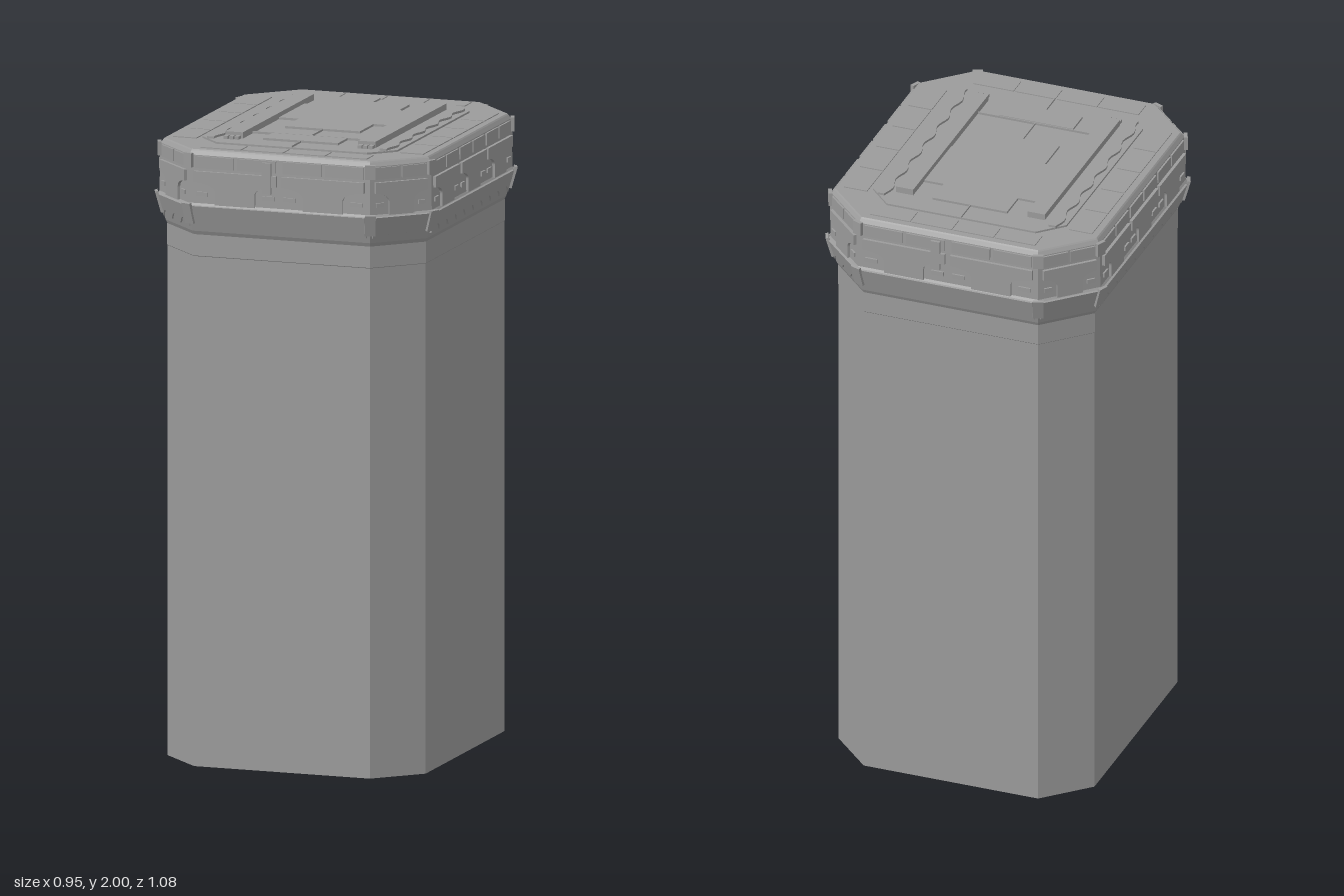
import * as THREE from 'three';

const mat = new THREE.MeshStandardMaterial({ color: 0x9b9b9b, flatShading: true, side: THREE.DoubleSide });

// Chamfered-rectangle outline, pushed outward by d, as [x, z] pairs
function outline(d) {
  const X = 0.43 + d, Z = 0.495 + d, a = 0.293 + 0.41 * d, b = 0.36 + 0.41 * d;
  return [[a, Z], [X, b], [X, -b], [a, -Z], [-a, -Z], [-X, -b], [-X, b], [-a, Z]];
}

// Skin a stack of outlines given as [offset, height]; optionally close the top
function loft(name, profile, capTop) {
  const pos = [], idx = [];
  for (const [d, y] of profile) for (const [x, z] of outline(d)) pos.push(x, y, z);
  for (let r = 0; r < profile.length - 1; r++) {
    for (let i = 0; i < 8; i++) {
      const j = (i + 1) % 8, lo = r * 8, hi = lo + 8;
      idx.push(lo + i, lo + j, hi + j, lo + i, hi + j, hi + i);
    }
  }
  const top = (profile.length - 1) * 8;
  if (capTop) for (let i = 1; i < 7; i++) idx.push(top, top + i, top + i + 1);
  const g = new THREE.BufferGeometry();
  g.setAttribute('position', new THREE.Float32BufferAttribute(pos, 3));
  g.setIndex(idx);
  const flat = g.toNonIndexed();
  flat.computeVertexNormals();
  return named(name, flat);
}

function named(name, geometry) {
  const m = new THREE.Mesh(geometry, mat);
  m.name = name;
  return m;
}

function box(name, w, h, d, x, y, z) {
  const m = named(name, new THREE.BoxGeometry(w, h, d));
  m.position.set(x, y, z);
  return m;
}

function extrude(shape, depth) {
  return new THREE.ExtrudeGeometry(shape, { depth, bevelEnabled: false });
}

// Flat plate on the lid, outline in [x, z]
function plate(name, points, y0, y1) {
  const shape = new THREE.Shape(points.map(([x, z]) => new THREE.Vector2(x, -z)));
  const m = named(name, extrude(shape, y1 - y0));
  m.rotation.x = -Math.PI / 2;
  m.position.y = y0;
  return m;
}

const rect = (x0, x1, z0, z1) => [[x0, z0], [x1, z0], [x1, z1], [x0, z1]];

// Wall tile: a wide head on a narrower foot with rounded shoulders
function tileShape(w) {
  const h = w / 2, f = w * 0.24, s = new THREE.Shape();
  s.moveTo(-f, 0);
  s.lineTo(f, 0);
  s.lineTo(f, 0.04);
  s.quadraticCurveTo(f, 0.065, h, 0.07);
  s.lineTo(h, 0.105);
  s.lineTo(-h, 0.105);
  s.lineTo(-h, 0.07);
  s.quadraticCurveTo(-f, 0.065, -f, 0.04);
  return s;
}

// Skirt strip with a lower edge of small arches
function skirtShape(w, n) {
  const s = new THREE.Shape(), p = w / n;
  s.moveTo(w / 2, 0.088);
  s.lineTo(-w / 2, 0.088);
  s.lineTo(-w / 2, 0.015);
  for (let i = 0; i < n; i++) {
    const x = i * p - w / 2;
    s.quadraticCurveTo(x + p / 2, 0.065, x + p, 0.015);
  }
  return s;
}

// Trim for one side of the lid: local x runs along the side, z points outward
function sideTrim(p, q) {
  const g = new THREE.Group();
  g.name = 'lidSideTrim';
  const len = Math.hypot(q[0] - p[0], q[1] - p[1]);
  const nx = -(q[1] - p[1]) / len, nz = (q[0] - p[0]) / len;
  g.position.set((p[0] + q[0]) / 2, 0, (p[1] + q[1]) / 2);
  g.rotation.y = Math.atan2(nx, nz);
  const n = Math.max(1, Math.round(len / 0.26)), pitch = len / n;
  for (let i = 0; i < n; i++) {
    const x = (i + 0.5) * pitch - len / 2;
    const tile = named('wallTile', extrude(tileShape(pitch * 0.94), 0.011));
    tile.position.set(x, 1.803, 0.021);
    g.add(tile);
    for (const s of [-1, 1]) {
      g.add(box('upperTile', pitch * 0.44, 0.038, 0.012, x + s * pitch * 0.24, 1.936, 0.02));
      g.add(box('wallStud', pitch * 0.14, 0.014, 0.008, x + s * pitch * 0.38, 1.835, 0.025));
    }
  }
  // Skirt leans with the taper beneath the lid wall
  const skirt = named('archedSkirt', extrude(skirtShape(len * 0.98, n * 3), 0.008));
  skirt.position.set(0, 1.714, 0.004);
  skirt.rotation.x = 0.275;
  g.add(skirt);
  return g;
}

export function createModel() {
  const model = new THREE.Group();
  model.name = 'liddedColumn';

  // Hollow column, open underneath
  model.add(loft('column', [[0, 0], [0, 1.71]], false));
  model.add(loft('collar', [[0, 1.63], [0.0015, 1.632], [0.0015, 1.7]], false));

  // Lid shell: tapered skirt, wall and bevelled rim
  model.add(loft('lid', [[0, 1.7], [0.006, 1.712], [0.03, 1.797], [0.024, 1.805],
    [0.022, 1.91], [0.02, 1.958], [0.012, 1.97], [0.008, 1.974]], true));

  // Trim along the eight sides and clamps on the eight corners
  const ring = outline(0), wide = outline(0.022);
  ring.forEach((p, i) => {
    const prev = ring[(i + 7) % 8], next = ring[(i + 1) % 8];
    model.add(sideTrim(p, next));
    const dir = (a, b) => new THREE.Vector2(a[1] - b[1], b[0] - a[0]).normalize();
    const n = dir(prev, p).add(dir(p, next));
    const clamp = new THREE.Group();
    clamp.name = 'cornerClamp';
    clamp.position.set(wide[i][0], 0, wide[i][1]);
    clamp.rotation.y = Math.atan2(n.x, n.y);
    clamp.add(box('upperClamp', 0.032, 0.045, 0.012, 0, 1.942, 0.002));
    const low = box('lowerClamp', 0.034, 0.07, 0.01, 0, 1.772, 0.003);
    low.rotation.x = 0.275;
    clamp.add(low);
    model.add(clamp);
  });

  // Raised centre plate with its stepped panel
  model.add(plate('lidPlate', [[0.25, 0.405], [0.325, 0.33], [0.325, -0.33], [0.25, -0.405],
    [-0.25, -0.405], [-0.325, -0.33], [-0.325, 0.33], [-0.25, 0.405]], 1.97, 1.98));
  model.add(plate('steppedPanel', [[-0.125, -0.33], [0.125, -0.33], [0.125, -0.235], [0.19, -0.235],
    [0.19, 0], [0.125, 0], [0.125, 0.125], [-0.125, 0.125], [-0.125, 0], [-0.19, 0],
    [-0.19, -0.235], [-0.125, -0.235]], 1.978, 1.987));
  model.add(plate('smallPanel', rect(-0.125, 0.125, 0.24, 0.325), 1.978, 1.987));
  model.add(box('crossSeam', 0.384, 0.008, 0.004, 0, 1.983, 0.235));
  for (const [z, len] of [[-0.3675, 0.075], [0.18, 0.11], [0.365, 0.08]]) {
    model.add(box('centreSeam', 0.003, 0.008, len, 0, 1.982, z));
  }

  // Mirrored rails, end teeth and wavy strips
  for (const s of [-1, 1]) {
    model.add(box('rail', 0.058, 0.025, 0.652, s * 0.221, 1.9875, 0));
    for (let i = -1; i <= 1; i++) model.add(box('railTooth', 0.014, 0.012, 0.024, s * 0.223 + i * 0.018, 1.984, 0.337));
    const edge = [];
    for (let i = 0; i <= 48; i++) {
      const z = -0.36 + 0.015 * i;
      edge.push([0.017 + 0.007 * Math.cos((z - 0.047) * 2 * Math.PI / 0.12), z]);
    }
    const wave = [...edge.map(([w, z]) => [s * 0.288 + w, z]),
      ...edge.reverse().map(([w, z]) => [s * 0.288 - w, z])];
    model.add(plate('wavyStrip', wave, 1.978, 1.987));
  }

  // Paving tiles on the lid border
  for (const s of [-1, 1]) {
    for (let i = 0; i < 5; i++) {
      model.add(box('borderTile', 0.078, 0.004, 0.134, s * 0.378, 1.975, (i - 2) * 0.14));
    }
    for (let i = 0; i < 4; i++) {
      model.add(box('borderTile', 0.134, 0.004, 0.064, (i - 1.5) * 0.14, 1.975, s * 0.449));
    }
  }

  // Latch on the front and back walls
  for (const s of [-1, 1]) model.add(box('latch', 0.03, 0.1, 0.01, -s * 0.04, 1.9, s * 0.525));
  return model;
}
